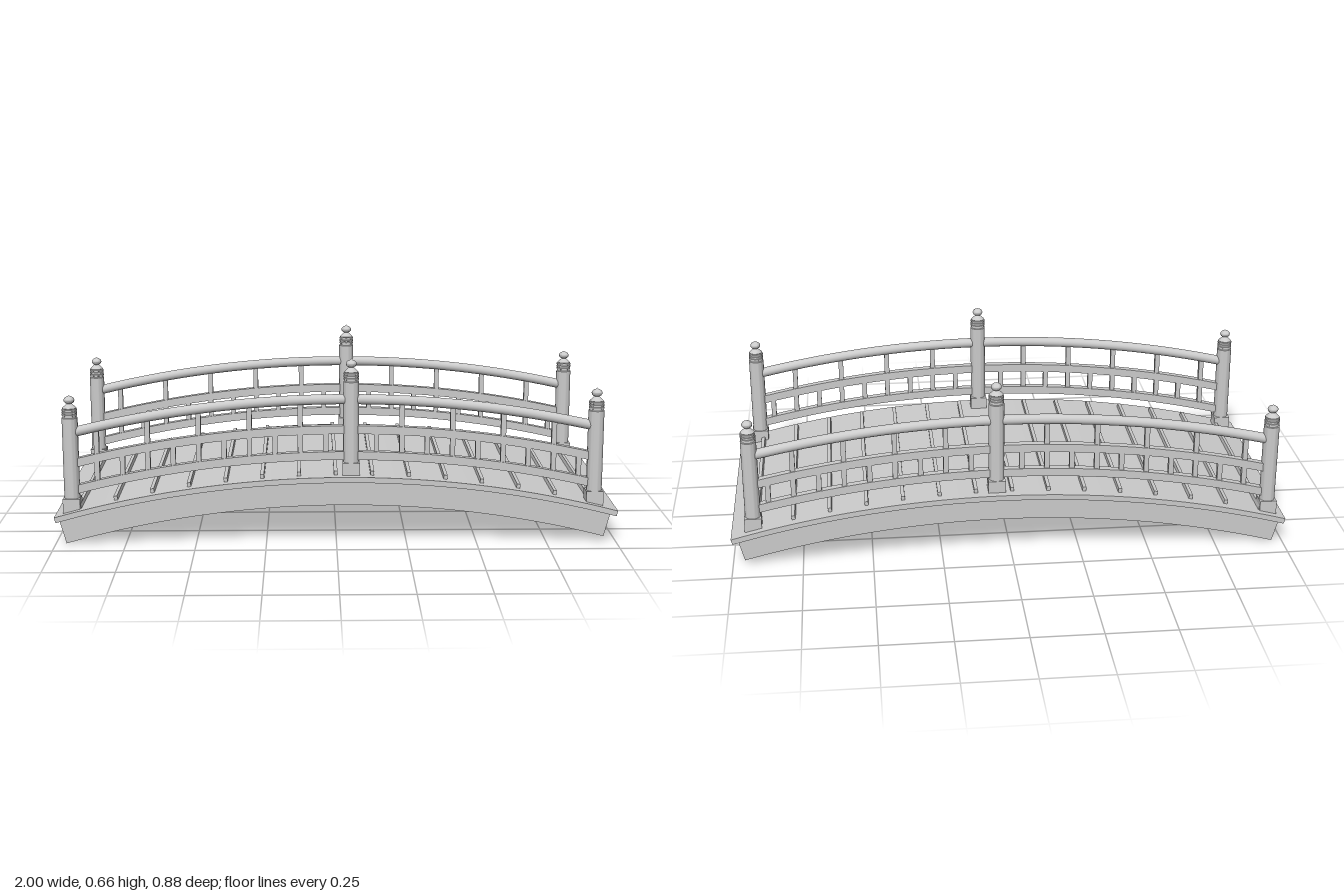
import * as THREE from 'three';
import { toCreasedNormals } from 'three/addons/utils/BufferGeometryUtils.js';

const material = new THREE.MeshStandardMaterial({ color: 0xcccccc });

// Everything follows concentric arcs about one centre below the bridge.
const CX = 0.03, CY = -3.52, DECK_R = 3.77;
const RAIL_Z = 0.383;
const POST_X = [-0.94, 0.052, 0.92];

const arcPoint = (r, t) => new THREE.Vector2(CX + r * Math.sin(t), CY + r * Math.cos(t));
const angleAt = (x, r) => Math.asin((x - CX) / r);
const heightAt = (x, r) => CY + Math.sqrt(r * r - (x - CX) ** 2);

function addMesh(parent, name, geometry, x = 0, y = 0, z = 0) {
  const mesh = new THREE.Mesh(geometry, material);
  mesh.name = name;
  mesh.position.set(x, y, z);
  parent.add(mesh);
  return mesh;
}

// Curved slab between two radii and two angles, centred on z = 0
function arcSlab(r0, r1, t0, t1, width, steps = 48) {
  const outer = [], inner = [];
  for (let i = 0; i <= steps; i++) {
    const t = t0 + (t1 - t0) * i / steps;
    outer.push(arcPoint(r1, t));
    inner.unshift(arcPoint(r0, t));
  }
  const geometry = new THREE.ExtrudeGeometry(new THREE.Shape([...outer, ...inner]), {
    depth: width, bevelEnabled: false,
  });
  geometry.translate(0, 0, -width / 2);
  return toCreasedNormals(geometry, 0.5);
}

// Turned post with ring collar and bulb finial
function postGeometry() {
  const points = [[0, 0.03], [0.028, 0.03], [0.028, 0.347], [0.025, 0.349], [0.025, 0.354]];
  for (let i = 0; i < 3; i++) {
    const y = 0.354 + i * 0.009;
    points.push([0.027, y + 0.001], [0.027, y + 0.006], [0.024, y + 0.007], [0.024, y + 0.009]);
  }
  points.push([0.025, 0.382], [0.01, 0.396], [0.009, 0.398]);
  for (let i = 1; i < 10; i++) {
    const a = -Math.PI / 2 + Math.PI * i / 10;
    points.push([0.019 * Math.cos(a), 0.41 + 0.014 * Math.sin(a)]);
  }
  points.push([0.004, 0.424], [0, 0.428]);
  const profile = points.map(([x, y]) => new THREE.Vector2(x, y));
  return toCreasedNormals(new THREE.LatheGeometry(profile, 28), 0.6);
}

// Upright between two radii, at one x
function addBaluster(parent, x, r0, r1, name) {
  const y0 = heightAt(x, r0), y1 = heightAt(x, r1);
  addMesh(parent, name, new THREE.BoxGeometry(0.018, y1 - y0, 0.018), x, (y0 + y1) / 2);
}

function railing() {
  const group = new THREE.Group();
  const lowR = DECK_R + 0.068, midR = DECK_R + 0.162, topR = DECK_R + 0.27;
  const [left, middle, right] = POST_X;

  // Flat lower rails
  for (const [r, name] of [[lowR, 'lowerRail'], [midR, 'middleRail']]) {
    addMesh(group, name, arcSlab(r - 0.015, r + 0.015, angleAt(left, r), angleAt(right, r), 0.026));
  }

  // Round handrail
  const points = [];
  for (let i = 0; i <= 24; i++) {
    const p = arcPoint(topR, THREE.MathUtils.lerp(angleAt(left, topR), angleAt(right, topR), i / 24));
    points.push(new THREE.Vector3(p.x, p.y, 0));
  }
  const curve = new THREE.CatmullRomCurve3(points);
  addMesh(group, 'handrail', new THREE.TubeGeometry(curve, 48, 0.018, 16));

  // Balusters: every one in the lower row, every second in the upper row
  for (let i = -10; i <= 9; i++) {
    if (i === 0) continue;
    const x = middle + i * 0.09;
    addBaluster(group, x, lowR, midR, 'lowerBaluster');
    if (i % 2 === 0) addBaluster(group, x, midR, topR, 'upperBaluster');
  }

  // Posts on square feet
  const post = postGeometry();
  const foot = new THREE.BoxGeometry(0.061, 0.057, 0.061);
  for (const x of POST_X) {
    const base = heightAt(x, DECK_R) - 0.013;
    addMesh(group, 'post', post, x, base);
    addMesh(group, 'postFoot', foot, x, base + 0.0285);
  }
  return group;
}

export function createModel() {
  const model = new THREE.Group();
  model.name = 'archedBridge';

  // Deck slab and the narrower body below it
  addMesh(model, 'deck', arcSlab(DECK_R - 0.02, DECK_R, -0.2767, 0.2602, 0.88));
  addMesh(model, 'archBody', arcSlab(3.66, DECK_R - 0.02, -0.2747, 0.256, 0.81));

  // Cross battens on the deck
  const batten = new THREE.BoxGeometry(0.013, 0.022, 0.81);
  for (let i = 0; i < 15; i++) {
    const x = -0.913 + i * 0.13;
    const mesh = addMesh(model, 'deckBatten', batten, x, heightAt(x, DECK_R) + 0.004);
    mesh.rotation.z = -angleAt(x, DECK_R);
  }

  // Railings on both sides
  for (const side of [-1, 1]) {
    const rail = railing();
    rail.name = side > 0 ? 'frontRailing' : 'backRailing';
    rail.position.z = side * RAIL_Z;
    model.add(rail);
  }
  return model;
}
